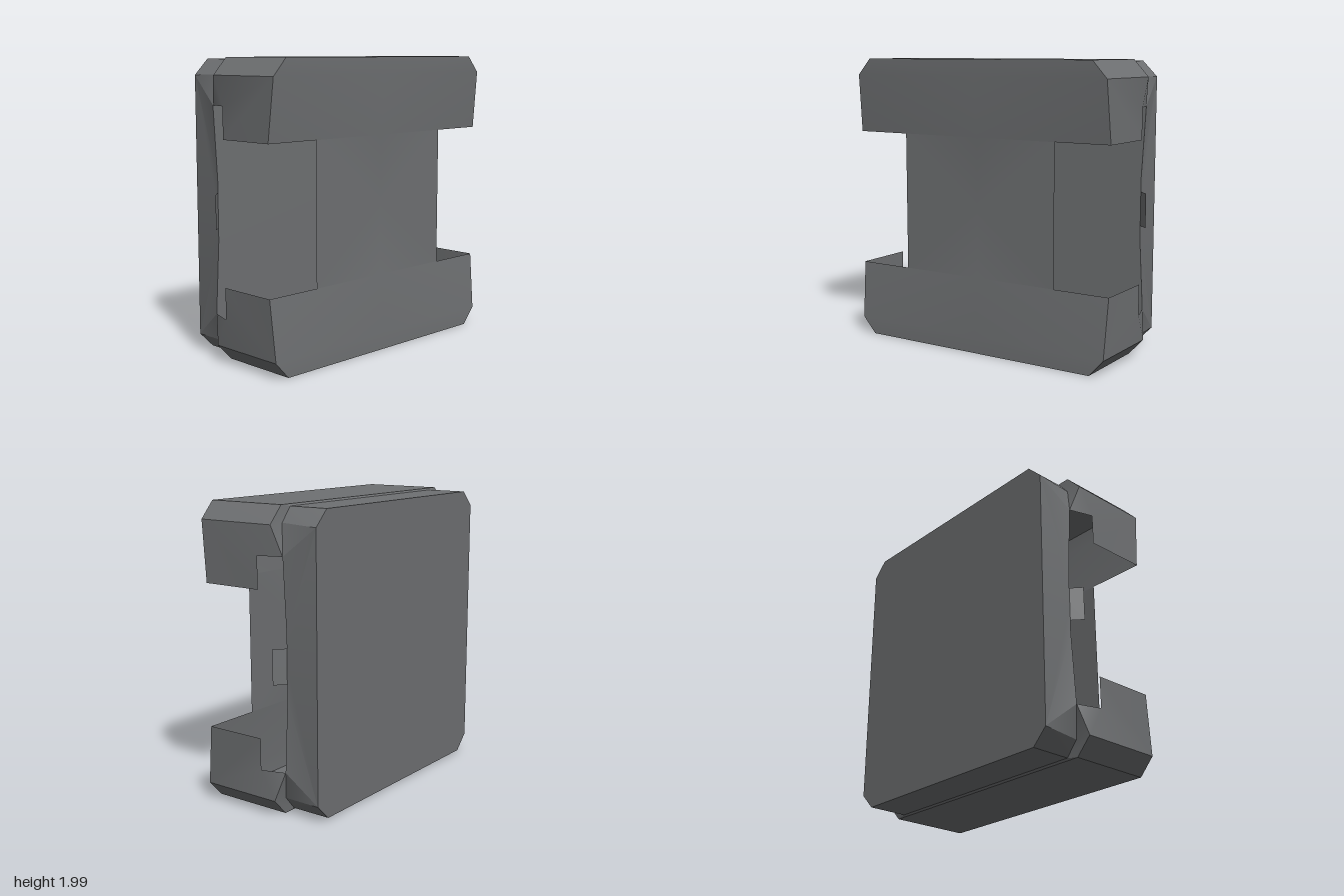
import * as THREE from 'three';
import { toCreasedNormals } from 'three/addons/utils/BufferGeometryUtils.js';

const MID = 0.993; // height of the horizontal mirror plane

// Builds a mesh from faces of the upper +x quarter, mirrored in x and y.
function quarterMesh(name, faces, material) {
  const pos = [];
  for (const sx of [1, -1]) {
    for (const sy of [1, -1]) {
      for (const face of faces) {
        for (let i = 1; i < face.length - 1; i++) {
          const tri = [face[0], face[i], face[i + 1]];
          if (sx * sy < 0) tri.reverse();
          for (const [x, y, z] of tri) pos.push(sx * x, MID + sy * y, z);
        }
      }
    }
  }
  const geometry = new THREE.BufferGeometry();
  geometry.setAttribute('position', new THREE.Float32BufferAttribute(pos, 3));
  const mesh = new THREE.Mesh(toCreasedNormals(geometry, 0.35), material);
  mesh.name = name;
  return mesh;
}

export function createModel() {
  const group = new THREE.Group();
  group.name = 'clipOnCover';
  const material = new THREE.MeshStandardMaterial({ color: 0x6e7072, side: THREE.DoubleSide });

  // Shared corners: y is measured from the mirror plane
  const front = 0.43, dish = 0.39, rim = -0.14, seat = -0.2, back = -0.43;
  const top = 0.993, shoulder = 0.88, step = 0.687, arm = 0.477;
  const topFront = [0.885, top, front], topRim = [0.885, top, rim];
  const sideFront = [0.988, shoulder, front], sideRim = [0.99, shoulder, rim];
  const armFront = [1, arm, dish], stepIn = [1, step, -0.04];
  const stepSeat = [0.95, step, seat];

  // Front panel, slightly sunken in the middle, notched at both sides
  group.add(quarterMesh('frontPanel', [
    [[0, 0, dish], [0.6, 0, dish], [0.6, arm, dish], [0, arm, dish]],
    [[0, arm, dish], armFront, sideFront, [0, shoulder, front]],
    [[0, shoulder, front], sideFront, topFront, [0, top, front]],
  ], material));

  // Top, bottom and chamfered corners of the hollow shell
  group.add(quarterMesh('shellEnds', [
    [[0, top, front], topFront, topRim, [0, top, rim]],
    [topFront, sideFront, sideRim, topRim],
  ], material));

  // Four stepped side arms
  group.add(quarterMesh('sideArms', [
    [sideFront, armFront, [1, arm, -0.04], stepIn],
    [sideFront, stepIn, sideRim],
    [stepIn, stepSeat, sideRim],
  ], material));

  // Tapered back block, with sides bowed inwards
  const lipY = 0.98;
  const lipTop = [0.81, lipY, -0.15], lipSide = [0.89, 0.885, -0.15];
  const backTop = [0.81, lipY, back], backSide = [0.915, 0.875, back], backMid = [0.915, 0, back];
  const waist = [0.922, 0.2, seat], waistMid = [0.922, 0, seat];
  group.add(quarterMesh('backBlock', [
    [backMid, [0, 0, back], [0, lipY, back], backTop, backSide],
    [[0, lipY, -0.15], lipTop, backTop, [0, lipY, back]],
    [backSide, backTop, lipTop, lipSide],
    [backSide, lipSide, stepSeat, waist, waistMid, backMid],
    [[0, 0, seat], waistMid, waist, stepSeat, [0.885, 0.87, seat], [0.81, 0.965, seat], [0, 0.965, seat]],
  ], material));

  // Narrow ledge joining the shell to the inset back block
  group.add(quarterMesh('rimLedge', [
    [[0, lipY, -0.15], [0, top, rim], topRim, lipTop],
    [lipTop, topRim, sideRim, lipSide],
    [lipSide, sideRim, stepSeat],
  ], material));

  // Small flared tabs halfway up each side
  group.add(quarterMesh('sideTabs', [
    [[0.922, 0, seat], [0.99, 0, rim], [0.99, 0.115, rim], [0.922, 0.115, seat]],
  ], material));

  return group;
}
